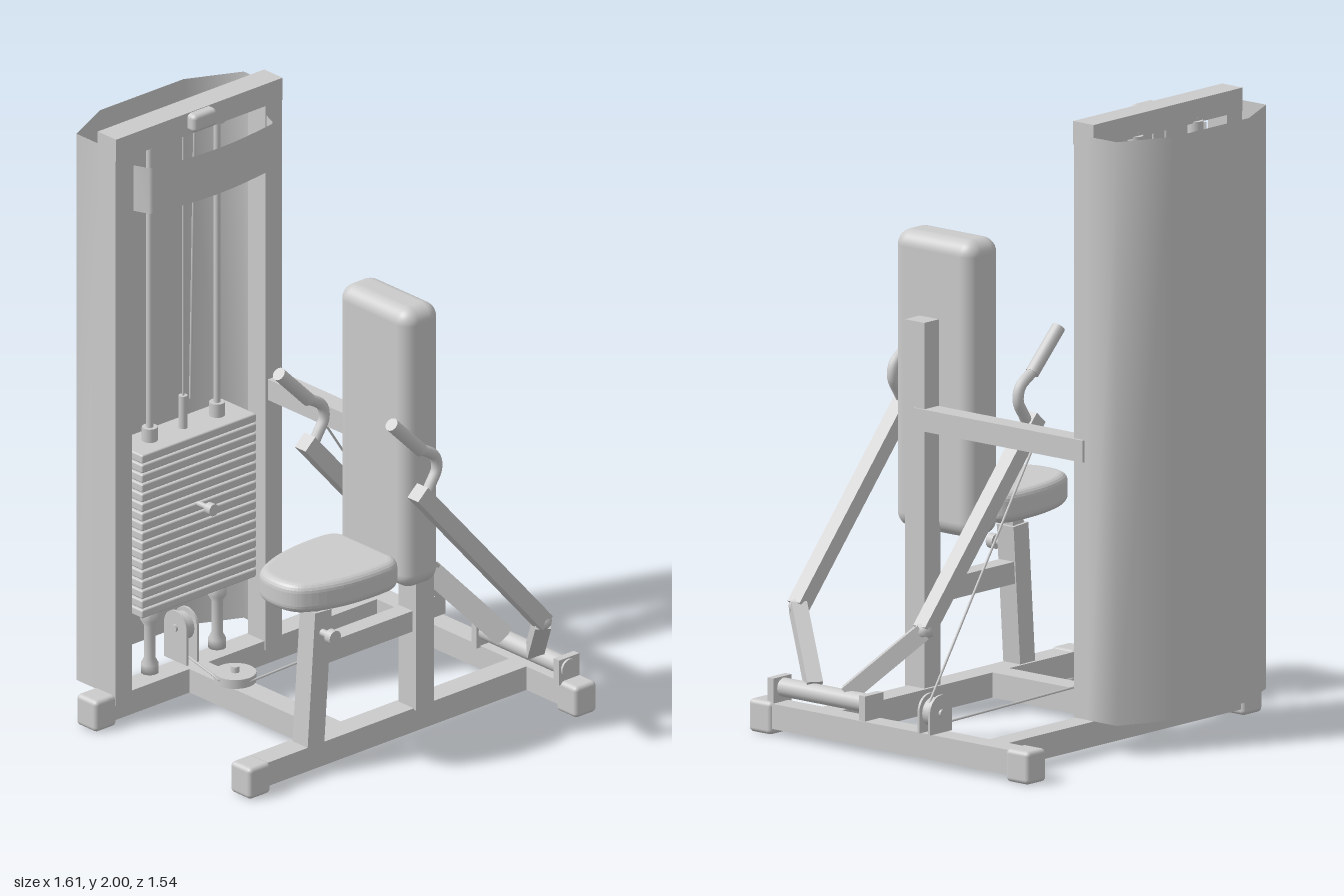
import * as THREE from 'three';
import { RoundedBoxGeometry } from 'three/addons/geometries/RoundedBoxGeometry.js';

const material = new THREE.MeshStandardMaterial({ color: 0xcccccc });
const sheetMaterial = new THREE.MeshStandardMaterial({ color: 0xcccccc, side: THREE.DoubleSide });
const V = (p) => new THREE.Vector3(...p);

export function createModel() {
  const model = new THREE.Group();
  model.name = 'chestPressMachine';
  // Working frame: x runs from the weight tower to the seat, z is where the seat faces
  const frame = new THREE.Group();
  frame.name = 'machine';
  frame.rotation.y = -Math.PI / 4;
  model.add(frame);

  function add(name, geometry, pos = [0, 0, 0], parent = frame, mat = material) {
    const mesh = new THREE.Mesh(geometry, mat);
    mesh.name = name;
    mesh.position.set(...pos);
    parent.add(mesh);
    return mesh;
  }
  const box = (name, w, h, d, pos) => add(name, new THREE.BoxGeometry(w, h, d), pos);
  const pad = (name, w, h, d, r, pos) => add(name, new RoundedBoxGeometry(w, h, d, 4, r), pos);

  // Square tube between two points
  function bar(name, p, q, w, h, parent = frame) {
    const a = V(p), b = V(q);
    const mesh = new THREE.Mesh(new THREE.BoxGeometry(w, h, a.distanceTo(b)), material);
    mesh.name = name;
    mesh.position.copy(a).lerp(b, 0.5);
    mesh.lookAt(b);
    parent.add(mesh);
  }
  // Round rod between two points
  function rod(name, p, q, r, parent = frame, sides = 16) {
    const a = V(p), b = V(q);
    const mesh = add(name, new THREE.CylinderGeometry(r, r, a.distanceTo(b), sides), [0, 0, 0], parent);
    mesh.position.copy(a).lerp(b, 0.5);
    mesh.quaternion.setFromUnitVectors(new THREE.Vector3(0, 1, 0), b.sub(a).normalize());
  }
  // Smooth upright sheet following a plan outline of [x, z] points
  function sheet(name, plan, y0, y1) {
    const g = new THREE.PlaneGeometry(1, 1, plan.length - 1, 1);
    const pos = g.attributes.position;
    for (let i = 0; i < pos.count; i++) {
      const [x, z] = plan[i % plan.length];
      pos.setXYZ(i, x, i < plan.length ? y1 : y0, z);
    }
    g.computeVertexNormals();
    add(name, g, [0, 0, 0], frame, sheetMaterial);
  }

  // Floor frame
  box('towerBaseBeam', 0.08, 0.08, 1.14, [-0.365, 0.06, 0.09]);
  box('seatBaseBeam', 0.08, 0.08, 1.14, [0.325, 0.06, 0.09]);
  box('backBaseBeam', 1.06, 0.08, 0.075, [0.02, 0.06, -0.505]);
  box('crossBaseBeam', 0.65, 0.08, 0.08, [-0.02, 0.06, 0.28]);
  for (const [x, z] of [[-0.37, 0.67], [0.33, 0.66], [-0.51, -0.505], [0.555, -0.505]])
    pad('foot', 0.095, 0.105, 0.09, 0.015, [x, 0.0525, z]);

  // Weight tower
  for (const z of [-0.03, 0.6]) box('towerPost', 0.08, 1.87, 0.07, [-0.36, 1.005, z]);
  box('towerTopBeam', 0.085, 0.075, 0.7, [-0.36, 1.9625, 0.285]);
  box('upperCrossBeam', 0.7, 0.07, 0.07, [-0.015, 0.955, -0.04]);
  sheet('towerShroud', [[-0.38, -0.067], [-0.5, -0.067], [-0.583, 0.11], [-0.583, 0.46], [-0.5, 0.635], [-0.38, 0.635]], 0.1, 1.96);
  const shield = [[-0.32, 0.0], [-0.27, 0.02]];
  for (let i = 0; i <= 8; i++) {
    const t = i / 8;
    shield.push([-0.262 + 0.025 * Math.sin(Math.PI * t), 0.03 + 0.5 * t]);
  }
  shield.push([-0.27, 0.54], [-0.32, 0.56]);
  sheet('topShield', shield, 1.735, 1.89);

  // Weight stack
  const plates = 17, pitch = 0.56 / plates;
  for (let i = 0; i < plates; i++)
    pad('weightPlate', 0.145, pitch - 0.004, 0.48, 0.006, [-0.393, 0.33 + (i + 0.5) * pitch, 0.282]);
  box('stackCore', 0.12, 0.54, 0.44, [-0.393, 0.61, 0.282]);
  for (const z of [0.142, 0.425]) {
    rod('guideRod', [-0.393, 0.1, z], [-0.393, 1.94, z], 0.011);
    rod('rodCollar', [-0.393, 0.89, z], [-0.393, 0.935, z], 0.025);
    rod('rodTopCap', [-0.393, 1.89, z], [-0.393, 1.93, z], 0.025);
    const profile = [[0, 0], [0.028, 0], [0.028, 0.03], [0.018, 0.05], [0.018, 0.16], [0.03, 0.18], [0.03, 0.23], [0, 0.23]];
    add('stackBumper', new THREE.LatheGeometry(profile.map((p) => new THREE.Vector2(...p)), 20), [-0.393, 0.1, z]);
  }
  rod('selectorStem', [-0.393, 0.89, 0.285], [-0.393, 1.0, 0.285], 0.014);
  rod('selectorPin', [-0.33, 0.655, 0.285], [-0.27, 0.655, 0.285], 0.009);
  rod('selectorKnob', [-0.275, 0.655, 0.285], [-0.25, 0.655, 0.285], 0.02);

  // Pulleys and cable
  function bracketPulley(name, pos, turn, h) {
    const g = new THREE.Group();
    g.name = name;
    g.position.set(...pos);
    g.rotation.y = turn;
    frame.add(g);
    const s = new THREE.Shape();
    s.moveTo(-0.052, 0).lineTo(0.052, 0).lineTo(0.052, h - 0.052);
    s.absarc(0, h - 0.052, 0.052, 0, Math.PI, false);
    s.lineTo(-0.052, 0);
    for (const z of [-0.026, 0.018])
      add('pulleyPlate', new THREE.ExtrudeGeometry(s, { depth: 0.008, bevelEnabled: false }), [0, 0, z], g);
    rod('pulleyWheel', [0, h - 0.057, -0.013], [0, h - 0.057, 0.013], 0.045, g, 24);
    rod('pulleyAxle', [0, h - 0.057, -0.034], [0, h - 0.057, 0.034], 0.012, g);
  }
  bracketPulley('stackPulley', [-0.4, 0.1, 0.285], 0, 0.17);
  bracketPulley('backPulley', [-0.128, 0.1, -0.5], Math.PI / 2, 0.12);
  rod('turningPulley', [-0.158, 0.105, 0.28], [-0.158, 0.135, 0.28], 0.066, frame, 32);
  rod('turningPulleyBolt', [-0.158, 0.1, 0.28], [-0.158, 0.155, 0.28], 0.014);
  rod('topPulley', [-0.33, 1.965, 0.255], [-0.33, 1.965, 0.315], 0.035, frame, 24);
  pad('topPulleyCover', 0.1, 0.06, 0.1, 0.015, [-0.335, 1.968, 0.285]);
  const cables = [
    [[-0.393, 0.95, 0.285], [-0.393, 1.95, 0.285]],
    [[-0.36, 1.0, 0.285], [-0.34, 1.95, 0.285]],
    [[-0.4, 0.125, 0.285], [-0.158, 0.125, 0.345]],
    [[-0.095, 0.12, 0.28], [-0.128, 0.12, -0.5]],
    [[-0.128, 0.19, -0.53], [-0.13, 0.93, -0.04]],
  ];
  for (const [p, q] of cables) rod('cable', p, q, 0.004, frame, 8);

  // Seat frame and back pad
  box('backUpright', 0.08, 1.17, 0.075, [0.335, 0.68, -0.032]);
  pad('backPad', 0.33, 0.95, 0.15, 0.05, [0.328, 1.05, 0.075]);
  bar('seatPostSleeve', [0.33, 0.09, 0.417], [0.33, 0.545, 0.385], 0.07, 0.07);
  bar('seatPostInner', [0.33, 0.5, 0.388], [0.33, 0.61, 0.38], 0.05, 0.05);
  bar('seatStrut', [0.33, 0.395, 0.38], [0.33, 0.395, -0.02], 0.06, 0.07);
  rod('adjusterPin', [0.36, 0.475, 0.39], [0.405, 0.475, 0.39], 0.012);
  rod('adjusterKnob', [0.4, 0.475, 0.39], [0.425, 0.475, 0.39], 0.024);

  // Seat cushion: wide at the back, narrowing to a rounded nose
  const s = new THREE.Shape();
  s.moveTo(-0.1, 0.185);
  s.lineTo(0.1, 0.185);
  s.quadraticCurveTo(0.13, 0.185, 0.135, 0.22);
  s.bezierCurveTo(0.145, 0.36, 0.115, 0.46, 0.08, 0.51);
  s.quadraticCurveTo(0.06, 0.54, 0, 0.54);
  s.quadraticCurveTo(-0.06, 0.54, -0.08, 0.51);
  s.bezierCurveTo(-0.115, 0.46, -0.145, 0.36, -0.135, 0.22);
  s.quadraticCurveTo(-0.13, 0.185, -0.1, 0.185);
  const seat = new THREE.ExtrudeGeometry(s, { depth: 0.044, bevelThickness: 0.028, bevelSize: 0.028, bevelSegments: 5, curveSegments: 10 });
  seat.rotateX(Math.PI / 2);
  add('seatCushion', seat, [0.33, 0.669, 0]);

  // Press arms, mirrored about the seat
  const arms = new THREE.Group();
  arms.name = 'pressArms';
  arms.position.x = 0.32;
  frame.add(arms);
  rod('pivotTube', [-0.19, 0.145, -0.49], [0.22, 0.145, -0.49], 0.03, arms, 20);
  for (const x of [-0.18, 0.2]) box('pivotBracket', 0.025, 0.085, 0.085, [0.32 + x, 0.137, -0.495]);
  for (const m of [-1, 1]) {
    const top = [m * 0.26, 0.96, 0.185], elbow = [m * 0.26, 0.365, -0.34], foot = [m * 0.07, 0.16, -0.48];
    bar('armUpper', top, elbow, 0.05, 0.055, arms);
    bar('armLower', elbow, foot, 0.05, 0.055, arms);
    add('armElbow', new THREE.SphereGeometry(0.03, 12, 8), elbow, arms);
    const path = [[0.93, 0.16], [0.975, 0.13], [1.02, 0.105], [1.065, 0.115], [1.11, 0.18], [1.14, 0.21]];
    const curve = new THREE.CatmullRomCurve3(path.map(([y, z]) => new THREE.Vector3(m * 0.26, y, z)));
    add('handleNeck', new THREE.TubeGeometry(curve, 24, 0.018, 12), [0, 0, 0], arms);
    rod('handGrip', [m * 0.26, 1.1, 0.17], [m * 0.26, 1.225, 0.295], 0.022, arms);
  }
  return model;
}
